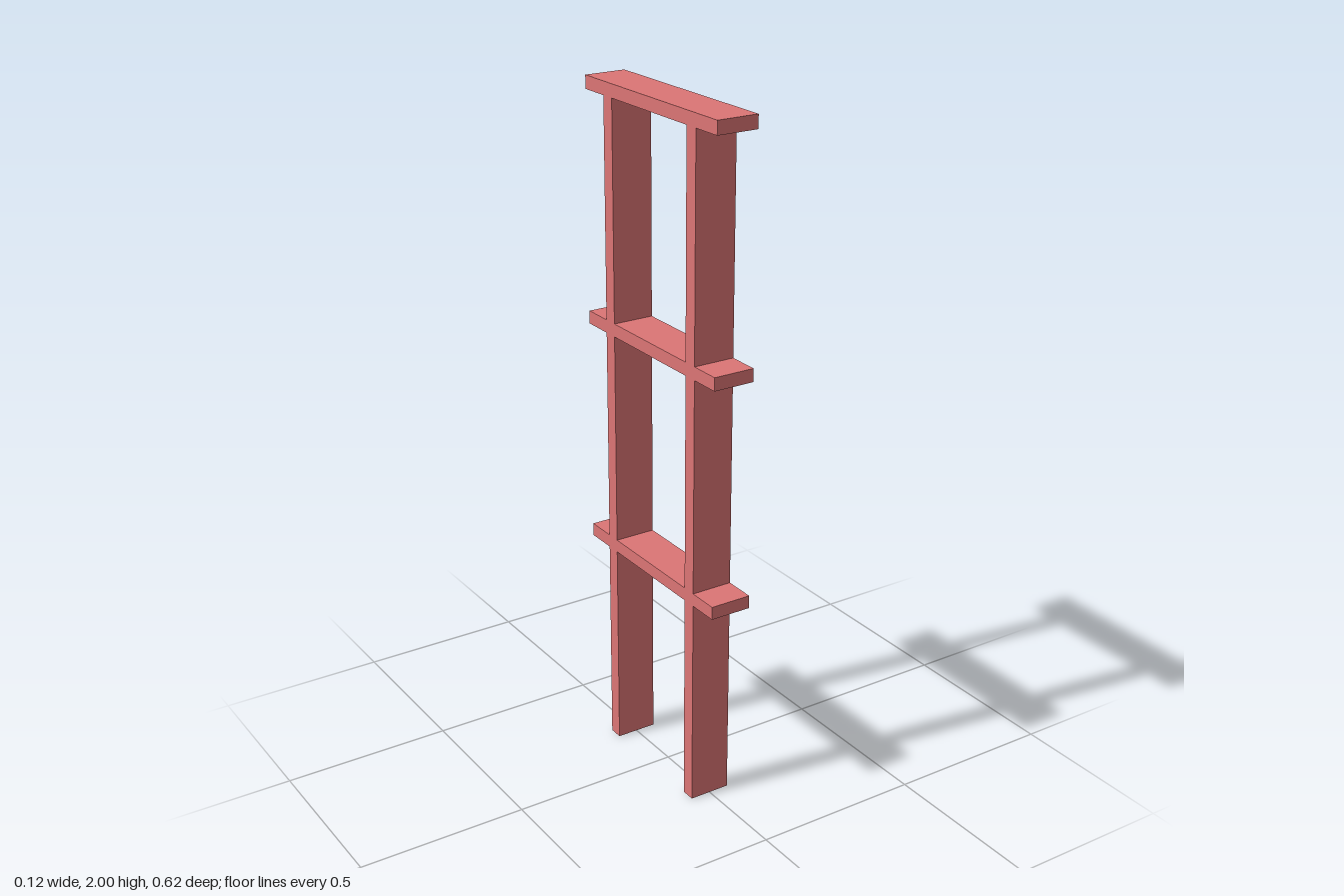
import * as THREE from 'three';

const WIDTH = 0.123;       // shared depth of all boards along x
const BOARD = 0.038;       // shelf thickness
const SHELF_LENGTH = 0.625;
const POST = 0.042;        // post thickness along z
const POST_Z = 0.199;
const SHELF_TOPS = [0.667, 1.333, 2];

export function createModel() {
  const group = new THREE.Group();
  const material = new THREE.MeshStandardMaterial({ color: 0xdc7575 });

  const addBoard = (name, height, length, y, z) => {
    const mesh = new THREE.Mesh(new THREE.BoxGeometry(WIDTH, height, length), material);
    mesh.name = name;
    mesh.position.set(0, y, z);
    group.add(mesh);
  };

  // Each tier: a pair of post sections carrying one overhanging shelf
  let base = 0;
  SHELF_TOPS.forEach((top, i) => {
    const underside = top - BOARD;
    addBoard(`shelf${i + 1}`, BOARD, SHELF_LENGTH, top - BOARD / 2, 0);
    for (const side of [1, -1]) {
      const name = `${side > 0 ? 'front' : 'back'}Post${i + 1}`;
      addBoard(name, underside - base, POST, (underside + base) / 2, side * POST_Z);
    }
    base = top;
  });

  return group;
}
